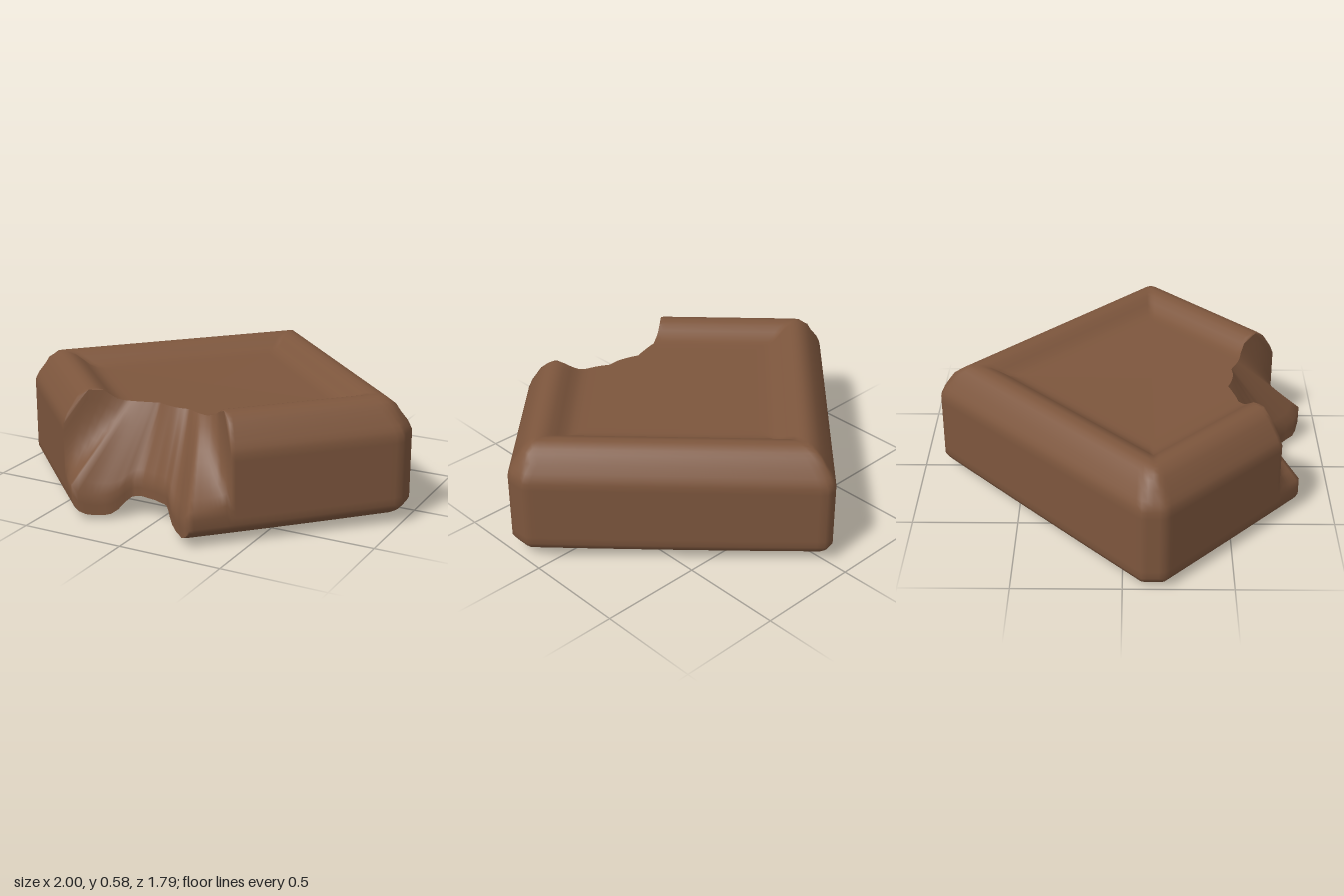
import * as THREE from 'three';

const CZ = 0.135; // centre of the square along z
const SEG = 240;

// Bite outline [x, z] at the top and at the bottom face
const biteTop = [[-0.45, 0.74], [-0.35, 0.62], [-0.29, 0.58], [-0.22, 0.54], [-0.14, 0.52], [-0.08, 0.5],
  [0.03, 0.53], [0.09, 0.525], [0.16, 0.56], [0.24, 0.58], [0.29, 0.6], [0.36, 0.68], [0.42, 0.77]];
const biteBottom = [[-0.36, 0.84], [-0.27, 0.79], [-0.2, 0.75], [-0.13, 0.68], [-0.08, 0.67], [0, 0.69],
  [0.08, 0.72], [0.12, 0.76], [0.16, 0.79], [0.22, 0.84], [0.24, 0.87], [0.3, 0.9]];

// Height profiles [inset from the edge, y]: bevel, raised rim, sunken middle
const topProfile = [[0, 0.42], [0.02, 0.465], [0.07, 0.54], [0.11, 0.572], [0.15, 0.58], [0.19, 0.568],
  [0.25, 0.525], [0.29, 0.513], [0.8, 0.51]];
const bottomProfile = [[0, 0.06], [0.015, 0.03], [0.04, 0.01], [0.08, 0], [0.16, 0], [0.2, 0.02],
  [0.25, 0.07], [0.29, 0.085], [0.8, 0.09]];

function interpolate(table, v) {
  for (let i = 1; i < table.length; i++) {
    const [a, p] = table[i - 1], [b, q] = table[i];
    if (v >= a && v <= b) return p + (q - p) * (v - a) / (b - a);
  }
  return Infinity;
}

const toPolar = (points) => points.map(([x, z]) => [Math.atan2(x, z - CZ), Math.hypot(x, z - CZ)]);

// Distance inward from the corner-trimmed square
function insetAt(x, dz) {
  const ax = Math.abs(x), az = Math.abs(dz);
  return Math.max(0, Math.min((1.055 - ax - az) / Math.SQRT2, 1 - ax, 1.03 - az));
}

// Radius of the square at a given angle and inset
function squareRadius(a, d) {
  const s = Math.abs(Math.sin(a)) + 1e-9, c = Math.abs(Math.cos(a)) + 1e-9;
  return Math.min((1.055 - d * Math.SQRT2) / (s + c), (1 - d) / s, (1.03 - d) / c);
}

function createBlock() {
  const insets = [0.6, 0.45, 0.36, 0.31, 0.28, 0.25, 0.22, 0.19, 0.17, 0.15, 0.13, 0.11, 0.09, 0.07, 0.045, 0.02, 0.01, 0];
  const top = toPolar(biteTop), bottom = toPolar(biteBottom);
  const topY = (x, dz) => interpolate(topProfile, insetAt(x, dz)) + 0.008 * x;
  const bottomY = (x, dz) => interpolate(bottomProfile, insetAt(x, dz)) + 0.02 + 0.02 * x + 0.015 * dz * dz;
  const WALL = 10;
  const positions = [], index = [];
  const rows = 2 * (insets.length + 1) + WALL - 1;

  for (let j = 0; j <= SEG; j++) {
    const a = -Math.PI + (j / SEG) * 2 * Math.PI;
    const sx = Math.sin(a), cz = Math.cos(a);
    const add = (r, y) => positions.push(r * sx, y, r * cz + CZ);
    const limitTop = interpolate(top, a), limitBottom = interpolate(bottom, a);
    const topRadii = [0, ...insets.map((d) => Math.min(squareRadius(a, d), limitTop))];
    const bottomRadii = [0, ...insets.map((d) => Math.min(squareRadius(a, d), limitBottom))];
    // Top face, from the middle out
    topRadii.forEach((r) => add(r, topY(r * sx, r * cz)));
    // Outer wall, leaning outward toward the bottom inside the bite
    const r0 = topRadii.at(-1), r1 = bottomRadii.at(-1);
    const y0 = topY(r0 * sx, r0 * cz), y1 = bottomY(r1 * sx, r1 * cz);
    for (let k = 1; k < WALL; k++) {
      const f = k / WALL;
      add(r0 + (r1 - r0) * Math.min(1, f * 1.25), y0 + (y1 - y0) * f);
    }
    // Bottom face, from the edge in
    bottomRadii.reverse().forEach((r) => add(r, bottomY(r * sx, r * cz)));
  }

  for (let j = 0; j < SEG; j++) {
    const n = (j + 1) % SEG; // close the loop so the shading has no seam
    for (let i = 0; i < rows - 1; i++) {
      const a = j * rows + i, b = n * rows + i;
      index.push(a, a + 1, b + 1, a, b + 1, b);
    }
  }
  const geometry = new THREE.BufferGeometry();
  geometry.setAttribute('position', new THREE.Float32BufferAttribute(positions, 3));
  geometry.setIndex(index);
  geometry.computeVertexNormals();
  return geometry;
}

export function createModel() {
  const group = new THREE.Group();
  group.name = 'bittenSquare';
  const chocolate = new THREE.MeshStandardMaterial({ color: 0x7d563d });
  chocolate.name = 'chocolate brown';
  const block = new THREE.Mesh(createBlock(), chocolate);
  block.name = 'chocolateBlock';
  group.add(block);
  return group;
}
